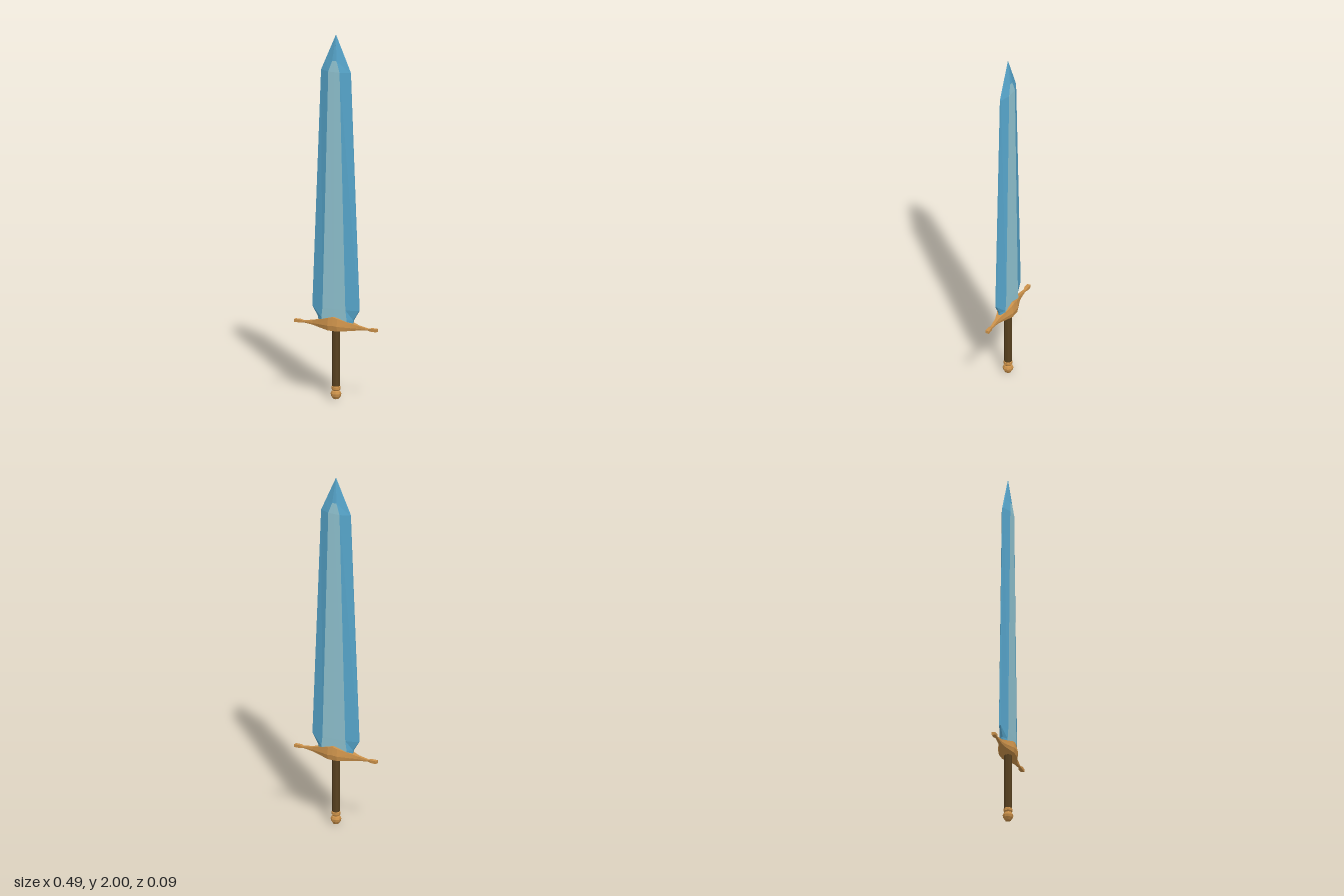
import * as THREE from 'three';

const mat = (name, color) => {
  const m = new THREE.MeshStandardMaterial({ color, flatShading: true });
  m.name = name;
  return m;
};

// Flat-shaded skin over rings of [x, y, z]; rings run clockwise about the loft axis.
// keep(row, side) picks which faces to build.
function loft(rings, keep = () => true, caps = true) {
  const pos = [];
  const tri = (...pts) => pts.forEach((p) => pos.push(...p));
  const n = rings[0].length;
  for (let r = 0; r < rings.length - 1; r++) {
    for (let j = 0; j < n; j++) {
      if (!keep(r, j)) continue;
      const k = (j + 1) % n;
      const [a, b, c, d] = [rings[r][j], rings[r][k], rings[r + 1][k], rings[r + 1][j]];
      tri(a, d, c);
      tri(a, c, b);
    }
  }
  if (caps) {
    const first = rings[0], last = rings[rings.length - 1];
    for (let j = 1; j < n - 1; j++) {
      tri(first[0], first[j], first[j + 1]);
      tri(last[0], last[j + 1], last[j]);
    }
  }
  const g = new THREE.BufferGeometry();
  g.setAttribute('position', new THREE.Float32BufferAttribute(pos, 3));
  g.computeVertexNormals();
  return g;
}

export function createModel() {
  const steel = mat('blue blade', 0x57a6cc);
  const pale = mat('pale blade centre', 0x92c6d4);
  const gold = mat('bronze', 0xcb914a);
  const leather = mat('dark brown grip', 0x57401f);

  const sword = new THREE.Group();
  sword.name = 'sword';
  const add = (name, geometry, material) => {
    const mesh = new THREE.Mesh(geometry, material);
    mesh.name = name;
    sword.add(mesh);
    return mesh;
  };

  // Blade sections: y, half width, centre panel half width, half depth, edge half depth
  const bladeRings = [
    [0.41, 0.100, 0.074, 0.022, 0.005],
    [0.445, 0.106, 0.076, 0.023, 0.005],
    [0.50, 0.140, 0.069, 0.024, 0.005],
    [1.80, 0.088, 0.034, 0.024, 0.004],
    [1.86, 0.062, 0.013, 0.019, 0.003],
    [2.00, 0.0005, 0.0002, 0.0005, 0.0003],
  ].map(([y, w, i, t, e]) => [
    [w, y, e], [i, y, t], [0, y, t + 0.0003], [-i, y, t], [-w, y, e],
    [-w, y, -e], [-i, y, -t], [0, y, -t - 0.0003], [i, y, -t], [w, y, -e],
  ]);
  const isPanel = (r, j) => r < 4 && [1, 2, 6, 7].includes(j);
  add('blade', loft(bladeRings, (r, j) => !isPanel(r, j)), steel);
  add('bladeCentre', loft(bladeRings, isPanel, false), pale);

  // Crossguard, half sections outwards: x, bottom y, top y, depth at bottom, middle, top
  const half = [
    [0.000, 0.383, 0.457, 0.042, 0.047, 0.038],
    [0.028, 0.383, 0.450, 0.042, 0.047, 0.038],
    [0.100, 0.389, 0.429, 0.017, 0.021, 0.017],
    [0.135, 0.394, 0.419, 0.009, 0.011, 0.009],
    [0.195, 0.400, 0.409, 0.006, 0.007, 0.006],
    [0.213, 0.397, 0.413, 0.010, 0.010, 0.010],
    [0.247, 0.397, 0.413, 0.010, 0.010, 0.010],
  ];
  const mirrored = half.slice(1).reverse().map(([x, ...rest]) => [-x, ...rest]);
  const guardRings = [...mirrored, ...half].map(([x, b, t, zb, zm, zt]) => {
    const m = b + (t - b) * 0.4;
    return [[x, b, zb], [x, m, zm], [x, t, zt], [x, t, -zt], [x, m, -zm], [x, b, -zb]];
  });
  add('crossguard', loft(guardRings), gold);

  // Eight-sided grip
  const grip = add('grip', new THREE.CylinderGeometry(0.021, 0.021, 0.34, 8), leather);
  grip.position.y = 0.23;
  grip.rotation.y = Math.PI / 8;

  // Turned pommel with a collar above a faceted knob
  const profile = [
    [0, 0], [0.016, 0.003], [0.026, 0.018], [0.029, 0.032], [0.024, 0.044],
    [0.019, 0.049], [0.024, 0.056], [0.024, 0.070], [0.020, 0.074], [0, 0.074],
  ].map(([r, y]) => new THREE.Vector2(r, y));
  const pommel = add('pommel', new THREE.LatheGeometry(profile, 8), gold);
  pommel.rotation.y = Math.PI / 8;

  return sword;
}
